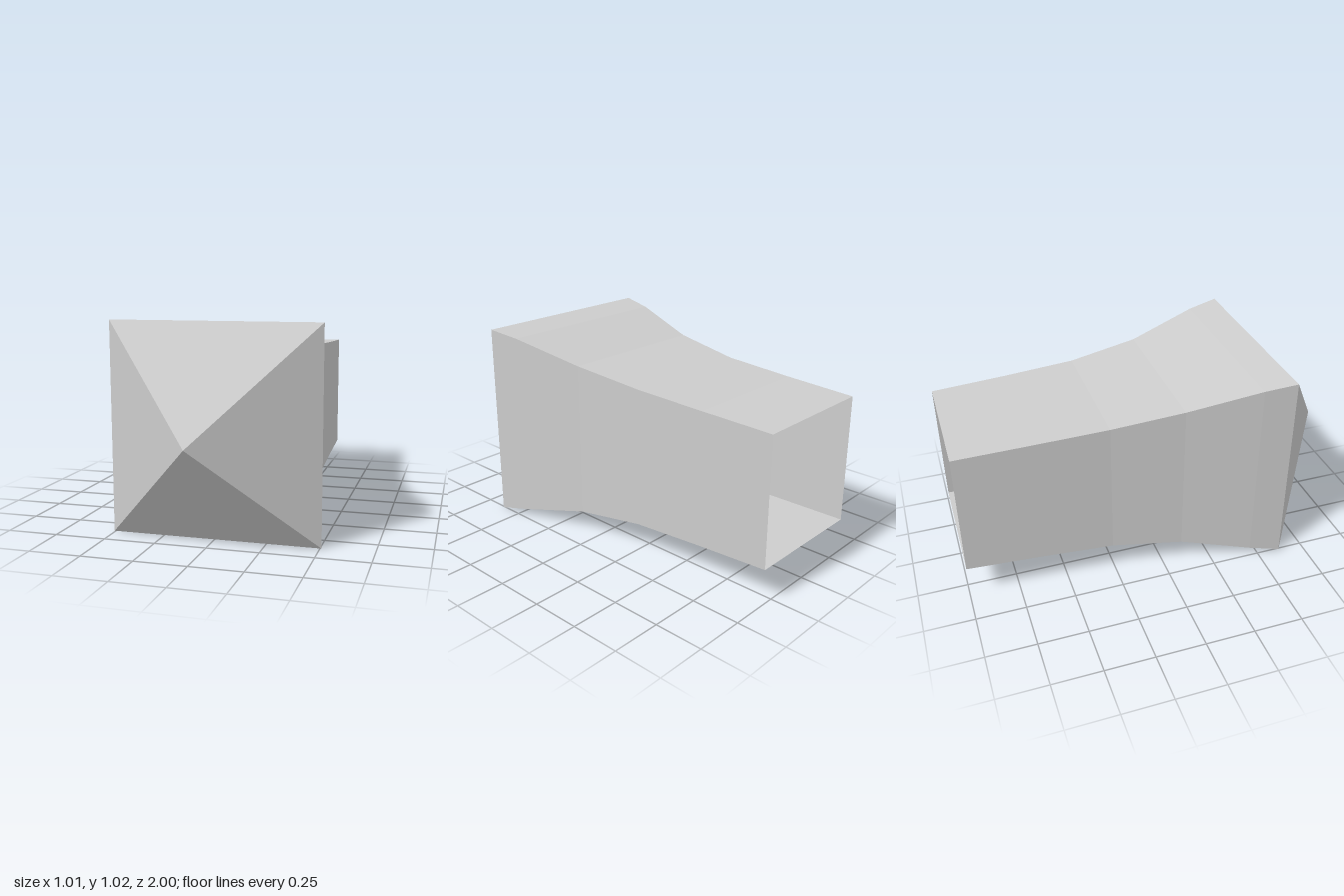
import * as THREE from 'three';

// Cross-sections from front to back: z, left x, right x, bottom y, top y
const SECTIONS = [
  [0.62, -0.507, 0.507, 0, 1.018],
  [0.46, -0.482, 0.476, 0.033, 0.994],
  [0.1, -0.404, 0.389, 0.111, 0.905],
  [-0.26, -0.363, 0.345, 0.151, 0.858],
  [-0.63, -0.347, 0.327, 0.167, 0.84],
  [-1, -0.334, 0.312, 0.18, 0.826],
];
const APEX = [-0.013, 0.5, 1];

// Corners of a section, counter-clockwise seen from the front
const corners = ([z, x0, x1, y0, y1]) => [[x0, y0, z], [x1, y0, z], [x1, y1, z], [x0, y1, z]];

function meshFrom(name, triangles, material) {
  const geometry = new THREE.BufferGeometry();
  geometry.setAttribute('position', new THREE.Float32BufferAttribute(triangles.flat(2), 3));
  geometry.computeVertexNormals();
  const mesh = new THREE.Mesh(geometry, material);
  mesh.name = name;
  return mesh;
}

export function createModel() {
  const group = new THREE.Group();
  group.name = 'pointedDuct';
  const grey = new THREE.MeshStandardMaterial({ color: 0xcccccc, side: THREE.DoubleSide, flatShading: true });
  grey.name = 'lightGrey';

  // Flared square tube, open at the back
  const walls = [];
  for (let s = 0; s < SECTIONS.length - 1; s++) {
    const front = corners(SECTIONS[s]);
    const back = corners(SECTIONS[s + 1]);
    for (let i = 0; i < 4; i++) {
      const j = (i + 1) % 4;
      walls.push([front[i], back[i], back[j]], [front[i], back[j], front[j]]);
    }
  }
  group.add(meshFrom('flaredTube', walls, grey));

  // Four-sided point closing the front
  const rim = corners(SECTIONS[0]);
  const point = rim.map((corner, i) => [corner, rim[(i + 1) % 4], APEX]);
  group.add(meshFrom('frontPoint', point, grey));

  return group;
}
